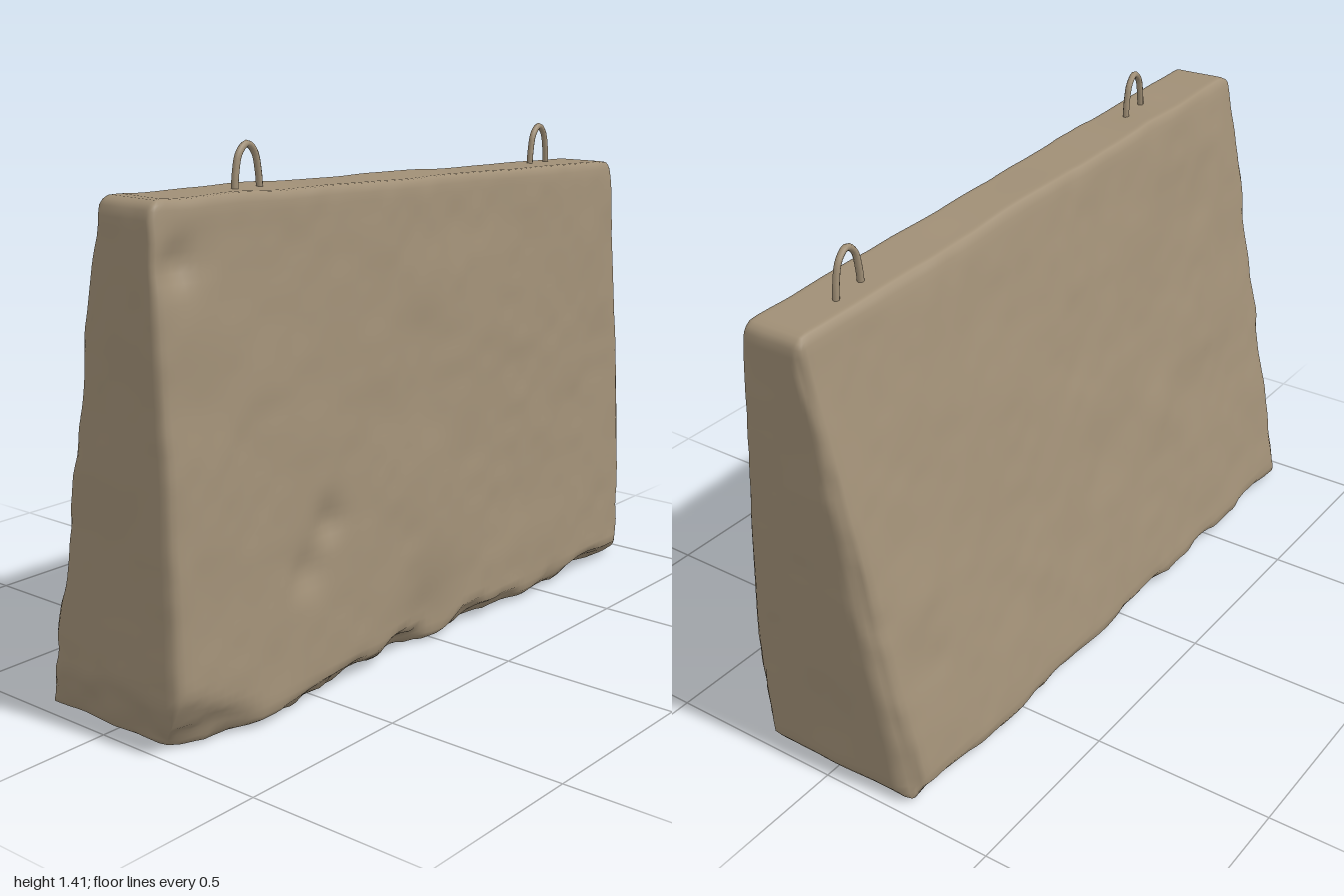
import * as THREE from 'three';
import { mergeVertices } from 'three/addons/utils/BufferGeometryUtils.js';

const lerp = THREE.MathUtils.lerp;
const V = (x, y, z) => new THREE.Vector3(x, y, z);

// smooth value noise in -1..1
function hash(x, y, z) {
  let h = (x * 374761393 + y * 668265263 + z * 1274126177) | 0;
  h = Math.imul(h ^ (h >>> 13), 1274126177);
  return (((h ^ (h >>> 16)) >>> 0) / 4294967295) * 2 - 1;
}
function noise(x, y, z) {
  const i = Math.floor(x), j = Math.floor(y), k = Math.floor(z);
  const s = t => t * t * (3 - 2 * t);
  const u = s(x - i), v = s(y - j), w = s(z - k);
  const row = (b, c) => lerp(hash(i, b, c), hash(i + 1, b, c), u);
  const layer = c => lerp(row(j, c), row(j + 1, c), v);
  return lerp(layer(k), layer(k + 1), w);
}

// planes that knock worn edges off the block, facing outwards
function chip(a, b, c, rough) {
  const plane = new THREE.Plane().setFromCoplanarPoints(a, b, c);
  if (plane.distanceToPoint(V(0, 0.6, 0.05)) > 0) plane.negate();
  return { plane, rough };
}
const chips = [
  chip(V(-1, 0.06, 0.28), V(1, 0.06, 0.28), V(0, 0, 0.22), 0.03),      // bottom front edge
  chip(V(-1, 0.05, -0.28), V(1, 0.05, -0.28), V(0, 0, -0.22), 0.02),   // bottom back edge
  chip(V(-1, 0.2, 0.27), V(-0.6, 0, 0.27), V(-0.93, 0, 0.2), 0.02),    // large broken corner
  chip(V(-1, 0.15, 0.3), V(-1, 0.15, -0.3), V(-0.95, 0, 0), 0.01),     // bottom right-hand end
  chip(V(-1, 0, -0.19), V(-0.91, 0, -0.27), V(-0.95, 1.3, 0.0), 0.008),
  chip(V(0.99, 0, -0.2), V(0.94, 0, -0.27), V(0.98, 1.25, 0.0), 0.008),
  chip(V(0.97, 0, 0.2), V(0.91, 0, 0.27), V(0.98, 0.5, 0.24), 0.008),
];

// dents: centre, radius, depth
const dents = [
  [V(-0.43, 0.45, 0.24), 0.05, 0.02],
  [V(-0.52, 0.35, 0.25), 0.06, 0.018],
  [V(-0.88, 1.17, 0.18), 0.05, 0.022],
  [V(-0.05, 0.08, 0.26), 0.12, 0.025],
];

function slabGeometry() {
  let geo = new THREE.BoxGeometry(2, 2, 2, 80, 54, 20);
  geo.deleteAttribute('uv');
  geo.deleteAttribute('normal');
  geo = mergeVertices(geo);
  const half = V(1, 0.66, 0.27), r = 0.04;
  const core = half.clone().subScalar(r);
  const pos = geo.attributes.position, p = V(), inner = V();
  for (let i = 0; i < pos.count; i++) {
    // rounded box
    p.fromBufferAttribute(pos, i).multiply(half);
    inner.copy(p).clamp(core.clone().negate(), core);
    p.sub(inner).normalize().multiplyScalar(r).add(inner);
    // taper, uneven ends and sloping top
    const t = (p.y / half.y + 1) / 2;
    const u = (p.x / half.x + 1) / 2, w = (p.z / half.z + 1) / 2;
    p.x = lerp(lerp(-0.995, -0.95, t), lerp(0.975, 0.99, t), u);
    p.y = lerp(0.01, 1.284 - 0.039 * p.x, t);
    p.z = lerp(lerp(-0.28, -0.005, t), lerp(0.275, 0.17, t), w);
    // broken edges
    for (const { plane, rough } of chips) {
      const n = noise(p.x * 7 + 3, p.y * 7, p.z * 7) + 0.5 * noise(p.x * 17, p.y * 17, p.z * 17);
      const d = plane.distanceToPoint(p) + rough * n;
      if (d > 0) p.addScaledVector(plane.normal, -d);
    }
    // dents on the front face
    for (const [c, size, depth] of dents) {
      p.z -= depth * Math.exp(-p.distanceToSquared(c) / (size * size));
    }
    // weathered surface
    const q = V(p.x * 6, p.y * 6, p.z * 6);
    p.z += 0.005 * noise(q.x, q.y, q.z) + 0.002 * noise(q.x * 3, q.y * 3, q.z * 3);
    p.x += 0.004 * noise(q.x + 20, q.y, q.z) + 0.002 * noise(q.x * 3, q.y * 3 + 9, q.z * 3);
    p.y += 0.004 * noise(q.x, q.y + 40, q.z);
    p.y = Math.max(p.y, 0.004);
    pos.setXYZ(i, p.x, p.y, p.z);
  }
  geo.computeVertexNormals();
  return geo;
}

// lifting loop: a bent bar with both feet sunk into the top
function loopGeometry(x0, x1, z0, z1, base, top) {
  const at = (s, y) => V(lerp(x0, x1, s), y, lerp(z0, z1, s));
  const h = top - base;
  const path = new THREE.CatmullRomCurve3([
    at(0, base - 0.03), at(0.06, base + h * 0.35), at(0.2, base + h * 0.8), at(0.5, top),
    at(0.8, base + h * 0.8), at(0.94, base + h * 0.35), at(1, base - 0.03),
  ]);
  return new THREE.TubeGeometry(path, 28, 0.009, 8, false);
}

export function createModel() {
  const group = new THREE.Group();
  group.name = 'concreteBarrier';
  const concrete = new THREE.MeshStandardMaterial({ color: 0xa08f76 });
  concrete.name = 'concrete';
  const add = (name, geo) => {
    const mesh = new THREE.Mesh(geo, concrete);
    mesh.name = name;
    group.add(mesh);
  };
  add('slab', slabGeometry());
  add('rightLiftingLoop', loopGeometry(-0.613, -0.507, 0.1, 0.085, 1.305, 1.412));
  add('leftLiftingLoop', loopGeometry(0.683, 0.789, 0.068, 0.056, 1.255, 1.364));
  return group;
}
